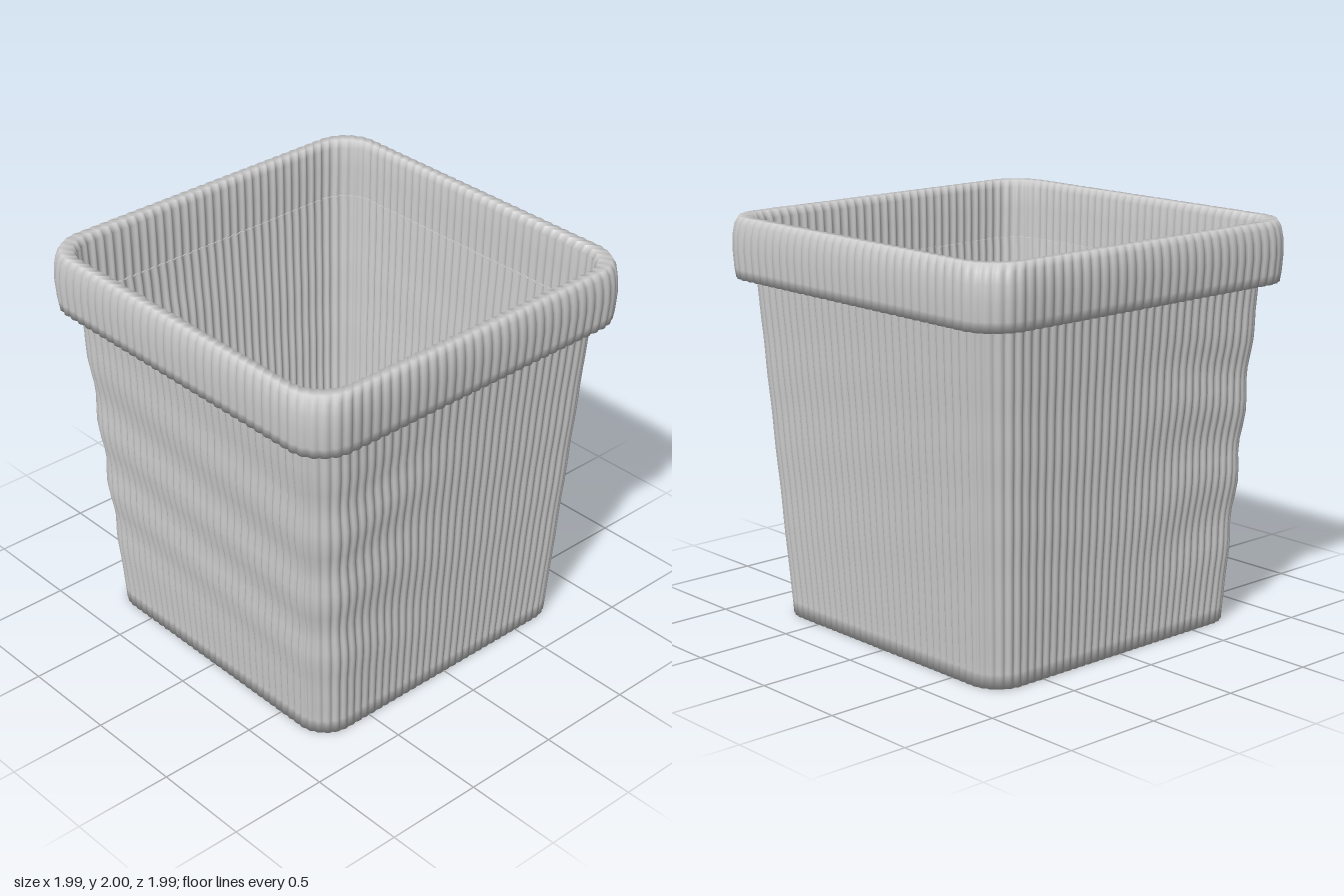
import * as THREE from 'three';

const RIBS = 136, STEPS = 6, AROUND = RIBS * STEPS;
const CORNER = 0.2; // corner radius as a share of the half width

// Point and outward normal on a unit rounded square; t runs 0..1 from +x towards +z
function roundedSquare(t) {
  const straight = 1 - CORNER, arc = CORNER * Math.PI / 2;
  const side = 2 * straight + arc;
  const d = t * 4 * side, q = Math.floor(d / side);
  let s = d - q * side, x, z, a = 0;
  if (s < straight) { x = 1; z = s; }
  else if (s < straight + arc) {
    a = (s - straight) / CORNER;
    x = straight + CORNER * Math.cos(a);
    z = straight + CORNER * Math.sin(a);
  } else { a = Math.PI / 2; x = straight - (s - straight - arc); z = 1; }
  const c = Math.round(Math.cos(q * Math.PI / 2)), n = Math.round(Math.sin(q * Math.PI / 2));
  return {
    x: x * c - z * n, z: x * n + z * c,
    nx: Math.cos(a) * c - Math.sin(a) * n, nz: Math.cos(a) * n + Math.sin(a) * c,
  };
}

// Soft horizontal waviness of the weave, strongest towards the front
function wave(x, y, z) {
  const height = THREE.MathUtils.smoothstep(y, 0.2, 0.5) * (1 - THREE.MathUtils.smoothstep(y, 1.35, 1.65));
  const front = 0.15 + 0.85 * THREE.MathUtils.smoothstep(z, -0.1, 0.6);
  return 0.008 * height * front * Math.sin(y * 15 + x * 2.5 + Math.sin(z * 4 + y * 3));
}

// Sweeps rows of [halfWidth, y, ribDepth] around the rounded square
function ribbedShell(rows) {
  const pos = [], index = [];
  rows.forEach(([h, y, depth], r) => {
    for (let i = 0; i < AROUND; i++) {
      const p = roundedSquare(i / AROUND);
      const groove = depth * (1 - Math.abs(Math.sin(Math.PI * i / STEPS)));
      const off = wave(p.x, y, p.z) - groove;
      pos.push(p.x * h + p.nx * off, y, p.z * h + p.nz * off);
      if (r === rows.length - 1) continue;
      const a = r * AROUND + i, b = r * AROUND + (i + 1) % AROUND;
      index.push(a, a + AROUND, b, b, a + AROUND, b + AROUND);
    }
  });
  const g = new THREE.BufferGeometry();
  g.setAttribute('position', new THREE.Float32BufferAttribute(pos, 3));
  g.setIndex(index);
  g.computeVertexNormals();
  return g;
}

export function createModel() {
  const group = new THREE.Group();
  const mat = new THREE.MeshStandardMaterial({ color: 0xcccccc, side: THREE.DoubleSide });
  const add = (name, geometry) => {
    const mesh = new THREE.Mesh(geometry, mat);
    mesh.name = name;
    group.add(mesh);
    return mesh;
  };

  // Thin tapered wall, curling in under the bottom to meet the floor
  const wall = [[0.655, 0.06, 0.002], [0.73, 0.02, 0.004], [0.8, 0, 0.006]];
  for (let i = 1; i <= 24; i++) {
    const k = i / 24;
    wall.push([0.8 + 0.108 * k, 1.7 * k, 0.013]);
  }
  add('wall', ribbedShell(wall));

  // Overhanging rolled rim
  add('rim', ribbedShell([
    [0.9, 1.7, 0.01], [0.982, 1.7, 0.01], [0.988, 1.75, 0.01], [0.993, 1.84, 0.01],
    [0.991, 1.91, 0.01], [0.983, 1.965, 0.01], [0.967, 2, 0.008], [0.925, 2, 0.008],
    [0.912, 1.96, 0.01], [0.909, 1.85, 0.012], [0.905, 1.7, 0.012],
  ]));

  // Flat floor panel
  const w = 0.66, r = 0.06, shape = new THREE.Shape();
  [[1, 1], [-1, 1], [-1, -1], [1, -1]].forEach(([sx, sy], i) => {
    const a = i * Math.PI / 2;
    shape.absarc(sx * (w - r), sy * (w - r), r, a, a + Math.PI / 2, false);
  });
  const floor = add('floor', new THREE.ExtrudeGeometry(shape, { depth: 0.02, bevelEnabled: false, curveSegments: 6 }));
  floor.rotation.x = -Math.PI / 2;
  floor.position.y = 0.05;

  return group;
}
